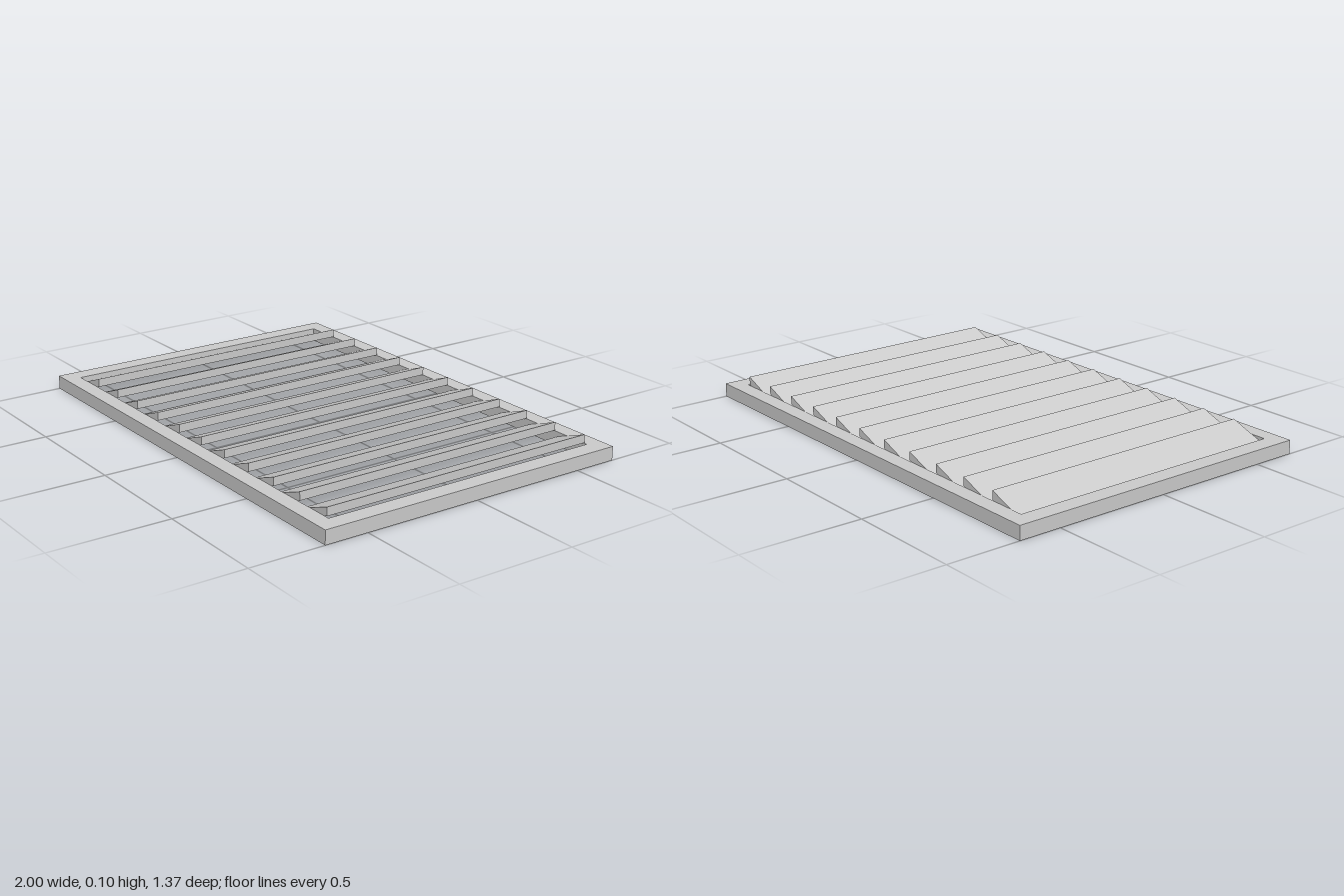
import * as THREE from 'three';

const material = new THREE.MeshStandardMaterial({ color: 0xcccccc, flatShading: true });

// Closed outline from [x, y] corners
function outline(points, Type = THREE.Shape) {
  return new Type(points.map(([x, y]) => new THREE.Vector2(x, y)));
}

function rectangle(w, h) {
  return [[-w, -h], [w, -h], [w, h], [-w, h]];
}

export function createModel() {
  const model = new THREE.Group();
  model.name = 'louvredVent';

  // Flat rectangular frame with one large opening
  const frameShape = outline(rectangle(1, 0.684));
  frameShape.holes.push(outline(rectangle(0.925, 0.617), THREE.Path));
  const frameGeometry = new THREE.ExtrudeGeometry(frameShape, { depth: 0.058, bevelEnabled: false });
  frameGeometry.rotateX(-Math.PI / 2);
  const frame = new THREE.Mesh(frameGeometry, material);
  frame.name = 'frame';
  model.add(frame);

  // Slanted slats with upright edges, rising towards +x
  const slatLength = 1.23;
  const half = 0.076;
  const slatShape = outline([[-half, 0.004], [half, 0.061], [half, 0.096], [-half, 0.039]]);
  const slatGeometry = new THREE.ExtrudeGeometry(slatShape, { depth: slatLength, bevelEnabled: false });
  slatGeometry.translate(0, 0, -slatLength / 2);

  const count = 11;
  const spacing = 0.1675;
  for (let i = 0; i < count; i++) {
    const slat = new THREE.Mesh(slatGeometry, material);
    slat.name = `slat${i + 1}`;
    slat.position.x = (i - (count - 1) / 2) * spacing;
    model.add(slat);
  }

  return model;
}
